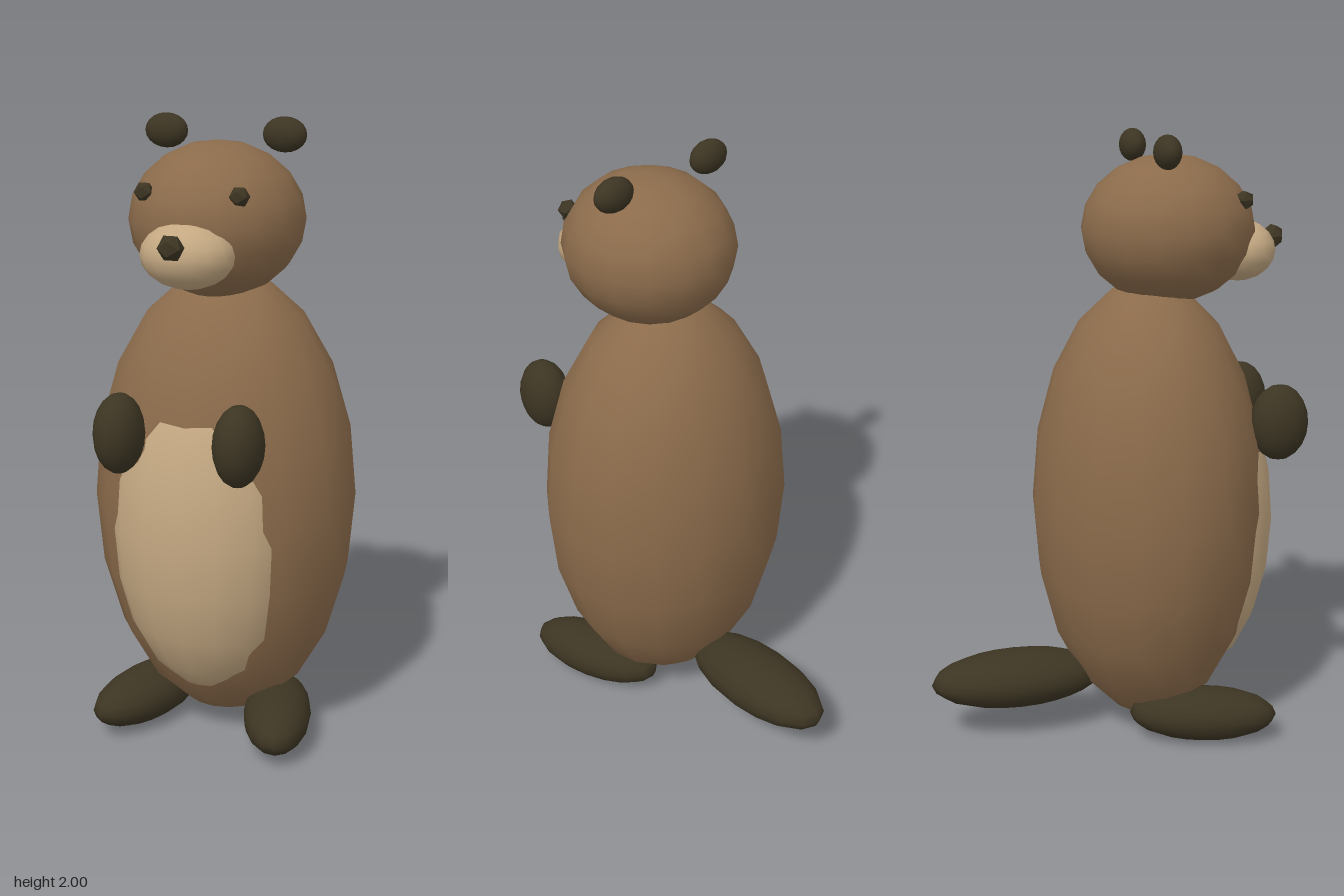
import * as THREE from 'three';

const material = (name, color) => {
  const m = new THREE.MeshStandardMaterial({ color });
  m.name = name;
  return m;
};

export function createModel() {
  const model = new THREE.Group();
  model.name = 'standingAnimal';
  const fur = material('brownFur', 0x8b6b4b);
  const cream = material('creamFur', 0xc4a882);
  const dark = material('darkSkin', 0x3d3523);
  const facetedDark = dark.clone();
  facetedDark.flatShading = true;

  const ball = new THREE.SphereGeometry(1, 16, 10);
  const bead = new THREE.IcosahedronGeometry(1, 0);

  // Every part is a stretched ball: centre, radii and an optional turn about y
  const add = (name, mat, centre, radii, turn = 0, geometry = ball) => {
    const mesh = new THREE.Mesh(geometry, mat);
    mesh.name = name;
    mesh.position.set(...centre);
    mesh.scale.set(...radii);
    mesh.rotation.y = turn;
    model.add(mesh);
  };

  // Trunk and head
  add('body', fur, [0, 0.78, 0.13], [0.43, 0.75, 0.387]);
  add('belly', cream, [0, 0.72, 0.29], [0.315, 0.55, 0.26]);
  add('head', fur, [0, 1.69, 0.193], [0.273, 0.24, 0.284]);
  add('muzzle', cream, [0, 1.615, 0.43], [0.147, 0.102, 0.125]);
  add('nose', facetedDark, [0, 1.655, 0.557], [0.042, 0.042, 0.036], 0, bead);

  // Flat tail resting behind the body
  add('tail', dark, [0, 0.19, -0.325], [0.13, 0.095, 0.292]);

  // Mirrored pairs
  for (const [side, s] of [['left', 1], ['right', -1]]) {
    add(side + 'Ear', dark, [s * 0.195, 1.946, 0.13], [0.071, 0.054, 0.042]);
    add(side + 'Eye', facetedDark, [s * 0.152, 1.79, 0.4], [0.032, 0.032, 0.032], 0, bead);
    add(side + 'Paw', dark, [s * 0.195, 1.07, 0.52], [0.077, 0.126, 0.097]);
    add(side + 'Foot', dark, [s * 0.23, 0.09, 0.26], [0.11, 0.088, 0.245], s * 0.3);
  }
  return model;
}
